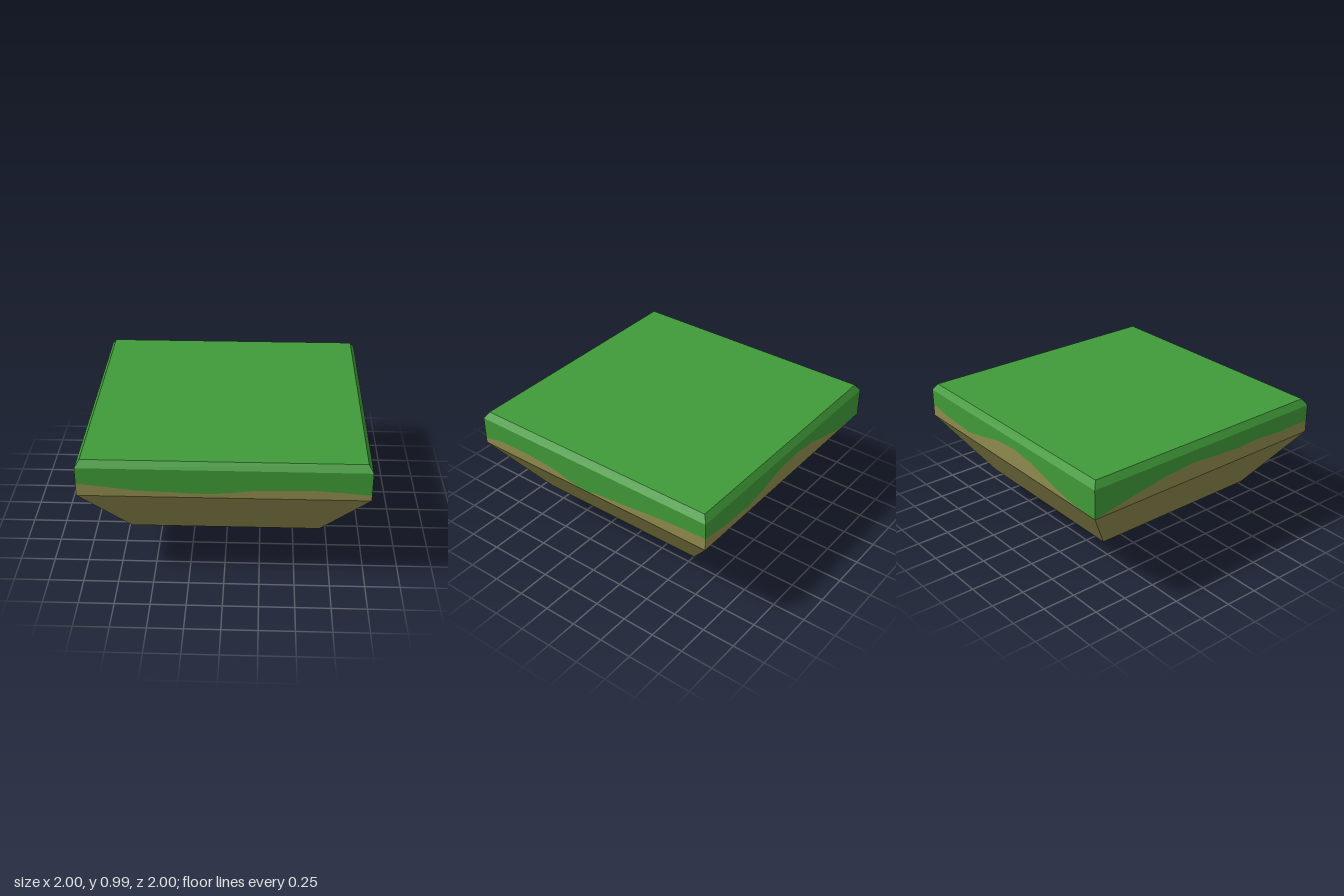
import * as THREE from 'three';

const grass = new THREE.MeshStandardMaterial({ color: 0x409a38 });
grass.name = 'grass green';
const soil = new THREE.MeshStandardMaterial({ color: 0x908b4e });
soil.name = 'soil brown';

// Heights and half widths of the square cross-sections
const FOOT = [0, 0.135], KNEE = [0.27, 0.68], RIM = [0.725, 1], SHOULDER = [0.94, 1], TOP = [0.99, 0.967];

// Grass edge on each wall as [position, height], left to right seen from outside
const grassEdges = {
  front: [[-1, 0.82], [-0.8, 0.797], [-0.6, 0.774], [-0.4, 0.766], [-0.2, 0.757], [-0.07, 0.756], [0.05, 0.768],
    [0.2, 0.786], [0.4, 0.793], [0.6, 0.797], [0.8, 0.783], [1, 0.767]],
  right: [[-1, 0.767], [-0.9, 0.787], [-0.8, 0.8], [-0.6, 0.801], [-0.4, 0.79], [-0.3, 0.777], [-0.2, 0.75],
    [-0.1, 0.731], [0, 0.727], [0.06, 0.746], [0.2, 0.757], [0.4, 0.778], [0.6, 0.798], [0.8, 0.814], [1, 0.82]],
  back: [[-1, 0.82], [-0.8, 0.79], [-0.5, 0.772], [-0.3, 0.81], [-0.1, 0.858], [0.1, 0.868], [0.3, 0.845],
    [0.5, 0.79], [0.7, 0.742], [0.85, 0.73], [1, 0.727]],
  left: [[-1, 0.727], [-0.7, 0.78], [-0.4, 0.83], [-0.13, 0.85], [0.05, 0.832], [0.3, 0.82], [0.5, 0.828],
    [0.7, 0.812], [1, 0.82]],
};

// Flat-shaded strip between a lower and an upper row of points, facing +z
function strip(name, lower, upper, material) {
  const pos = [];
  for (let i = 0; i < lower.length - 1; i++) {
    const [a, b, c, d] = [lower[i], lower[i + 1], upper[i + 1], upper[i]];
    pos.push(...a, ...b, ...c, ...a, ...c, ...d);
  }
  const geometry = new THREE.BufferGeometry();
  geometry.setAttribute('position', new THREE.Float32BufferAttribute(pos, 3));
  geometry.computeVertexNormals();
  const mesh = new THREE.Mesh(geometry, material);
  mesh.name = name;
  return mesh;
}

// One side of a cross-section as a row of two points
const row = ([y, half]) => [[-half, y, half], [half, y, half]];

// Horizontal square closing the top or the foot
function cap(name, [y, half], up, material) {
  const geometry = new THREE.PlaneGeometry(half * 2, half * 2).rotateX(up ? -Math.PI / 2 : Math.PI / 2);
  const mesh = new THREE.Mesh(geometry, material);
  mesh.position.y = y;
  mesh.name = name;
  return mesh;
}

export function createModel() {
  const model = new THREE.Group();
  model.name = 'floatingIsland';

  Object.entries(grassEdges).forEach(([name, edge], i) => {
    const side = new THREE.Group();
    side.name = name + 'Side';
    const edgeRow = edge.map(([x, y]) => [x, y, 1]);
    const level = (y) => edge.map(([x]) => [x, y, 1]);
    side.add(
      strip('lowerSlope', row(FOOT), row(KNEE), soil),
      strip('upperSlope', row(KNEE), row(RIM), soil),
      strip('soilBand', level(RIM[0]), edgeRow, soil),
      strip('grassBand', edgeRow, level(SHOULDER[0]), grass),
      strip('grassBevel', row(SHOULDER), row(TOP), grass),
    );
    side.rotation.y = i * Math.PI / 2;
    model.add(side);
  });

  model.add(cap('grassTop', TOP, true, grass), cap('foot', FOOT, false, soil));
  return model;
}
